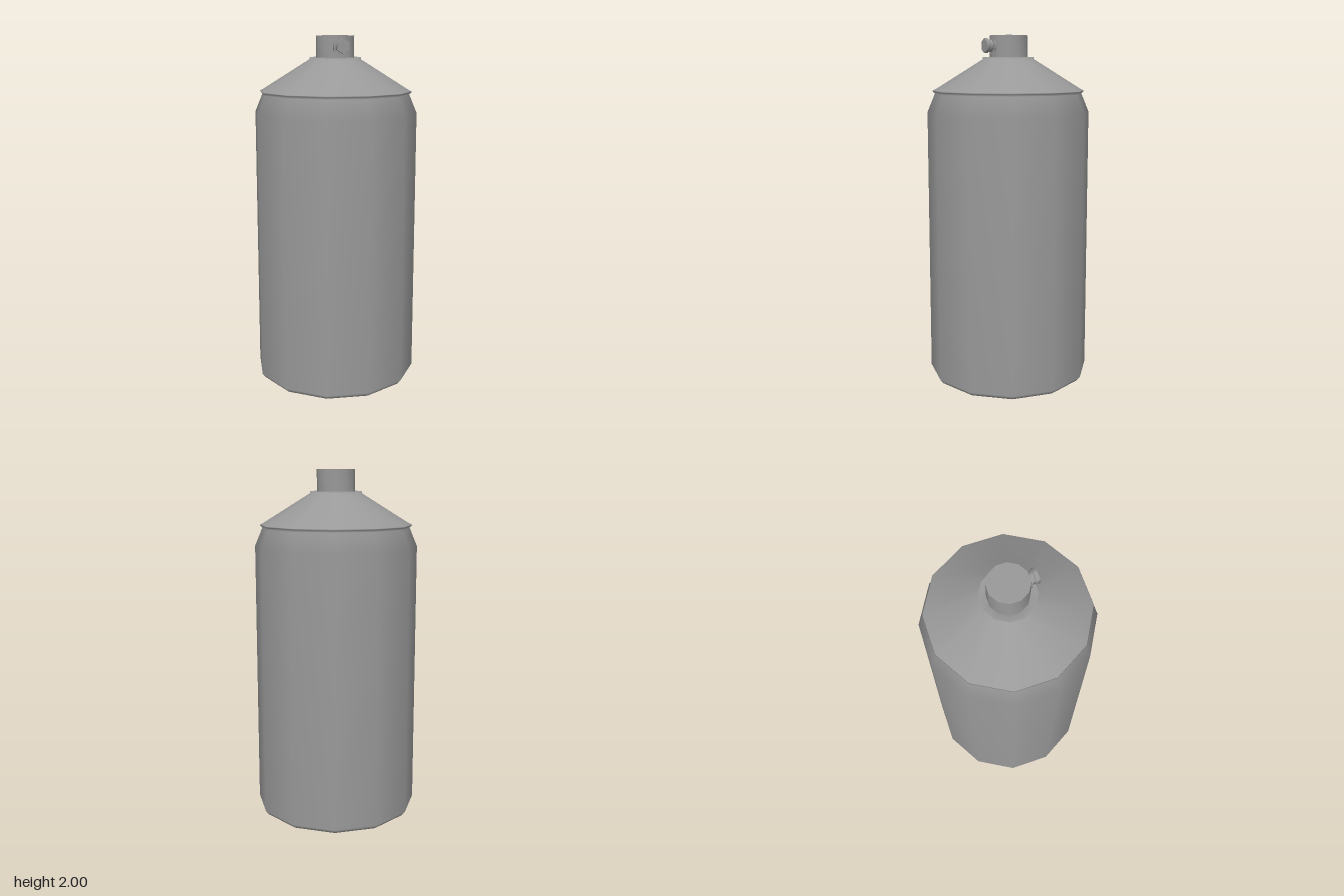
import * as THREE from 'three';
import { toCreasedNormals } from 'three/addons/utils/BufferGeometryUtils.js';

const material = new THREE.MeshStandardMaterial({ color: 0x999999 });

// Smooth turned part from [radius, height] pairs, listed bottom to top
function turned(profile, sides) {
  return new THREE.LatheGeometry(profile.map(([r, y]) => new THREE.Vector2(r, y)), sides);
}

function part(name, geometry) {
  const mesh = new THREE.Mesh(geometry, material);
  mesh.name = name;
  return mesh;
}

export function createModel() {
  const group = new THREE.Group();
  group.name = 'sprayCan';

  // Can shell: rolled bottom edge, tapered shoulder, soft lip, conical dome
  // and a neck ring that dips towards the button
  group.add(part('canShell', turned([
    [0, 0.003], [0.454, 0.003], [0.474, 0.028], [0.466, 1.57], [0.422, 1.675],
    [0.435, 1.688], [0.433, 1.693], [0.415, 1.702],
    [0.147, 1.868], [0.147, 1.88], [0.1, 1.865],
  ], 12)));

  // Push button with a sharp top rim
  group.add(part('button', toCreasedNormals(turned([
    [0.108, 1.865], [0.108, 2], [0, 2],
  ], 12), 0.8)));

  // Six-sided spout: base flange, stem and slightly wider head
  const spout = part('spout', toCreasedNormals(turned([
    [0.046, 0], [0.046, 0.012], [0.034, 0.012], [0.034, 0.034],
    [0.041, 0.036], [0.041, 0.057], [0, 0.057],
  ], 6), 1.1));
  spout.rotation.x = Math.PI / 2;

  // The spout is set slightly off centre and turned with the button
  const spoutMount = new THREE.Group();
  spoutMount.name = 'spoutMount';
  spoutMount.position.set(-0.013, 1.942, 0.094);
  spoutMount.rotation.y = -0.08;
  spoutMount.add(spout);
  group.add(spoutMount);

  return group;
}
